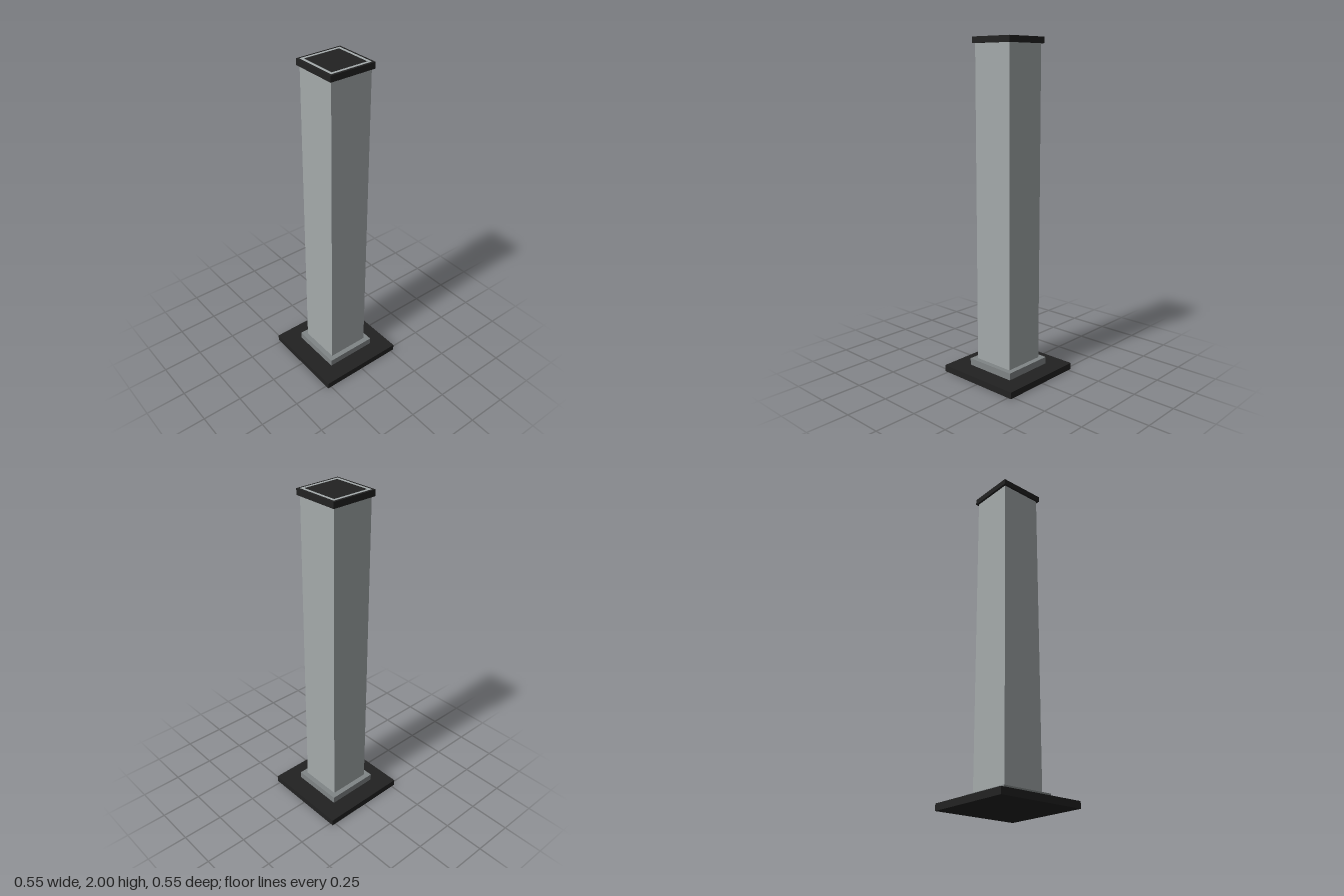
import * as THREE from 'three';

const material = (name, color) => {
  const m = new THREE.MeshStandardMaterial({ color });
  m.name = name;
  return m;
};

// Square outline with the given half width
const square = (Type, h) => new Type().moveTo(-h, -h).lineTo(h, -h).lineTo(h, h).lineTo(-h, h).closePath();

export function createModel() {
  const group = new THREE.Group();
  group.name = 'squarePost';
  const black = material('black', 0x222222);
  const paleGrey = material('paleGrey', 0xa4aaab);
  const midGrey = material('midGrey', 0x808586);

  // Solid square slab between two heights
  const slab = (name, half, y0, y1, mat) => {
    const mesh = new THREE.Mesh(new THREE.BoxGeometry(half * 2, y1 - y0, half * 2), mat);
    mesh.position.y = (y0 + y1) / 2;
    mesh.name = name;
    group.add(mesh);
  };

  // Hollow square tube between two heights
  const tube = (name, outer, inner, y0, y1, mat) => {
    const shape = square(THREE.Shape, outer);
    shape.holes.push(square(THREE.Path, inner));
    const geometry = new THREE.ExtrudeGeometry(shape, { depth: y1 - y0, bevelEnabled: false });
    geometry.rotateX(-Math.PI / 2);
    const mesh = new THREE.Mesh(geometry, mat);
    mesh.position.y = y0;
    mesh.name = name;
    group.add(mesh);
  };

  slab('basePlate', 0.273, 0, 0.04, black);
  tube('collar', 0.163, 0.131, 0.04, 0.082, midGrey);
  // The tube's rim shows just proud of the cap
  tube('post', 0.131, 0.115, 0.04, 2, paleGrey);
  slab('cap', 0.144, 1.963, 1.999, black);
  return group;
}
